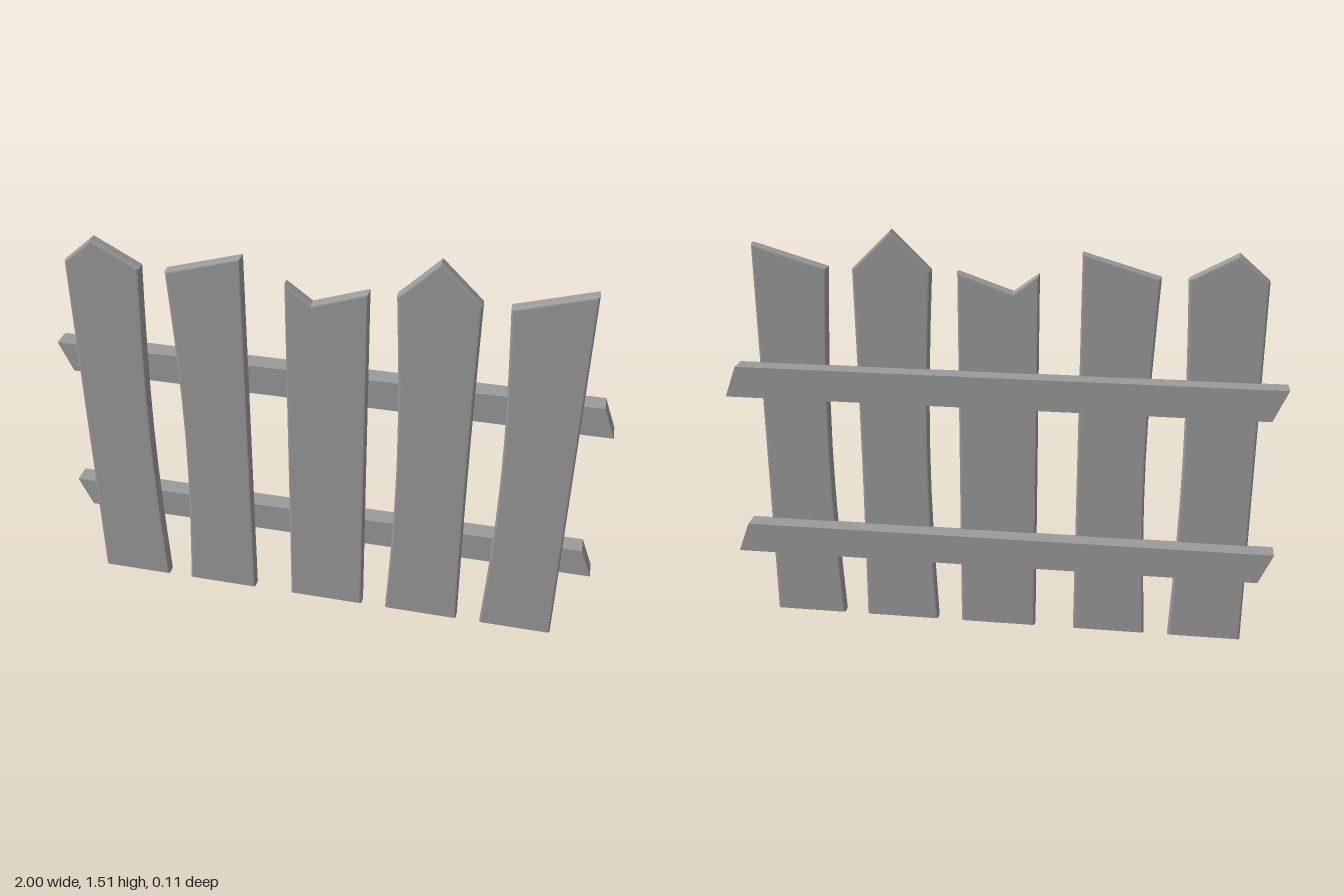
import * as THREE from 'three';
import { toCreasedNormals } from 'three/addons/utils/BufferGeometryUtils.js';

const material = new THREE.MeshStandardMaterial({ color: 0x9b9b9b });
const BASE_TOP = 1.375;
const BEVEL = 0.009;

// Each plank: left and right edge, top outline from right to left, waist depth of each edge
const PLANKS = [
  { left: -0.91, right: -0.64, top: [[-0.64, BASE_TOP], [-0.805, 1.465], [-0.91, BASE_TOP]], waistRight: 0.018 },
  { left: -0.55, right: -0.28, top: [[-0.28, 1.454], [-0.55, BASE_TOP]], waistLeft: 0.024 },
  { left: -0.133, right: 0.152, top: [[0.152, BASE_TOP], [-0.043, 1.308], [-0.133, BASE_TOP]] },
  { left: 0.245, right: 0.525, top: [[0.525, BASE_TOP], [0.384, 1.513], [0.245, BASE_TOP]], waistLeft: 0.022, waistRight: 0.004 },
  { left: 0.615, right: 0.885, top: [[0.885, 1.454], [0.615, BASE_TOP]], waistLeft: 0.024 },
];

// Flat board cut from an outline, placed between two depths
function board(name, points, zBack, zFront, bevel = 0) {
  const shape = new THREE.Shape(points.map(([x, y]) => new THREE.Vector2(x, y)));
  const geometry = new THREE.ExtrudeGeometry(shape, {
    depth: zFront - zBack - 2 * bevel,
    bevelEnabled: bevel > 0,
    bevelSize: bevel,
    bevelThickness: bevel,
    bevelOffset: -bevel,
    bevelSegments: 3,
  });
  geometry.translate(0, 0, zBack + bevel);
  // Square off the foot so the bevel runs straight down to the ground
  const position = geometry.attributes.position;
  for (let i = 0; i < position.count; i++) {
    if (position.getY(i) < bevel + 0.001) position.setY(i, 0);
  }
  const mesh = new THREE.Mesh(toCreasedNormals(geometry, 0.2), material);
  mesh.name = name;
  return mesh;
}

// Counter-clockwise plank outline with gently hollowed side edges
function plankOutline({ left, right, top, waistLeft = 0, waistRight = 0 }) {
  const steps = 8;
  const points = [[left, 0], [right, 0]];
  const side = (x, height, depth, t) => [x + depth * Math.sin(Math.PI * t), height * t];
  if (waistRight) {
    for (let i = 1; i < steps; i++) points.push(side(right, top[0][1], -waistRight, i / steps));
  }
  points.push(...top);
  if (waistLeft) {
    for (let i = steps - 1; i > 0; i--) points.push(side(left, top[top.length - 1][1], waistLeft, i / steps));
  }
  return points;
}

export function createModel() {
  const fence = new THREE.Group();
  fence.name = 'fence';

  // Upright planks with differently cut tops
  PLANKS.forEach((plank, i) => {
    fence.add(board(`plank${i + 1}`, plankOutline(plank), 0.01, 0.054, BEVEL));
  });

  // Two horizontal rails with slanted ends behind the planks
  [['lowerRail', 0.278], ['upperRail', 0.903]].forEach(([name, y]) => {
    const outline = [[-0.95, y], [1, y], [0.957, y + 0.115], [-1, y + 0.115]];
    fence.add(board(name, outline, -0.054, 0.015));
  });

  return fence;
}
